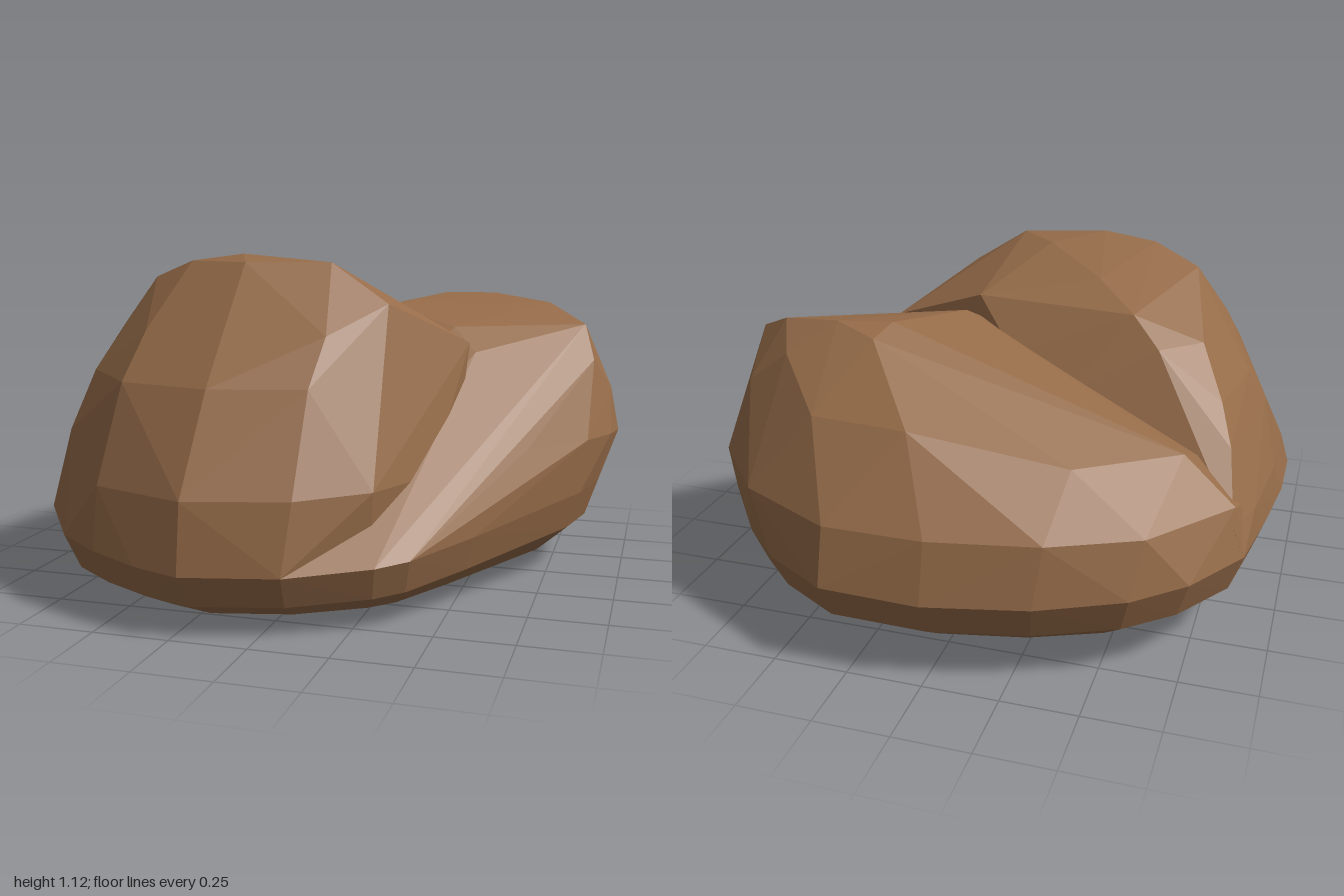
import * as THREE from 'three';
import { ConvexGeometry } from 'three/addons/geometries/ConvexGeometry.js';

const stone = new THREE.MeshStandardMaterial({ color: 0x966c49, roughness: 1, flatShading: true });

// Outline of the foot of the rock: x, z pairs
const footprint = [
  0.42, 0.72, 0.57, 0.48, 0.72, 0.2, 0.86, -0.02, 0.91, -0.2, 0.88, -0.5,
  0.69, -0.75, 0.55, -0.88, 0.33, -1, 0, -1, -0.33, -0.93, -0.6, -0.82,
  -0.76, -0.69, -0.9, -0.48, -0.94, -0.2, -0.97, 0.08, -0.97, 0.35, -0.87, 0.57,
  -0.7, 0.8, -0.55, 0.89, -0.38, 0.96, -0.22, 1, 0.08, 0.93, 0.33, 0.8,
];

// Rounded underside: [height, scale, rise to the back, rise to the sides]
const underside = [];
for (const [y, s, slope, bow] of [[0.02, 0.62, 0.03, 0.03], [0.06, 0.83, 0.03, 0.03], [0.13, 0.95, 0.04, 0.05], [0.24, 1, 0.045, 0.07]]) {
  for (let i = 0; i < footprint.length; i += 2) {
    const x = footprint[i] * s, z = footprint[i + 1] * s;
    underside.push(new THREE.Vector3(x, y - z * slope + x * x * bow, z));
  }
}

// Faceted lump on its share of the underside, from sections [height, [x, z, ...]]
function lump(name, foot, sections) {
  const points = [...foot];
  for (const [y, xz] of sections) {
    for (let i = 0; i < xz.length; i += 2) points.push(new THREE.Vector3(xz[i], y, xz[i + 1]));
  }
  const mesh = new THREE.Mesh(new ConvexGeometry(points), stone);
  mesh.name = name;
  return mesh;
}

export function createModel() {
  const group = new THREE.Group();
  group.name = 'rock';

  // Tall front lump with the summit and a sharp right edge
  const frontFoot = underside.filter((p) => p.x < 0.3 && p.z > -0.5);
  group.add(lump('frontLump', frontFoot, [
    [1.125, [-0.24, 0.36]],
    [1.1, [0.07, 0.37, -0.2, 0.45, -0.43, 0.35, -0.07, 0.23]],
    [1.04, [-0.6, 0.27, -0.3, 0.02]],
    [0.97, [0.27, 0.4, 0.11, -0.06, -0.45, -0.13]],
    [0.88, [-0.2, 0.66, 0.12, 0.6, -0.5, 0.58, -0.71, 0.3, -0.68, -0.08, -0.55, -0.2]],
    [0.82, [0.48, 0.09, -0.05, -0.2]],
    [0.73, [-0.2, 0.8, 0.1, 0.72, -0.52, 0.72, -0.75, 0.46, -0.82, 0.1, -0.77, -0.22, -0.27, -0.28]],
    [0.62, [0.47, 0.16, 0.22, 0.65, -0.88, 0.15, -0.82, -0.33]],
    [0.54, [-0.79, 0.57]],
    [0.42, [-0.22, 0.97, 0.1, 0.88, 0.3, 0.7, 0.42, 0.42, -0.55, 0.85, -0.94, 0.3, -0.94, 0,
      -0.91, -0.33, -0.86, -0.49]],
  ]));

  // Lower, wider lump behind, filling the valley on the right
  group.add(lump('backLump', underside, [
    [0.96, [0.3, -0.4, 0.48, -0.44]],
    [0.93, [0.7, -0.38, 0.33, -0.5, 0.14, -0.12]],
    [0.86, [0.02, -0.34, 0.4, -0.05, 0.84, -0.28, 0.63, -0.53]],
    [0.78, [0.49, 0.03]],
    [0.74, [0.12, -0.76, 0.45, -0.73, 0.79, -0.5, 0.88, -0.2]],
    [0.64, [-0.38, -0.67, -0.69, -0.46, 0.47, 0.14, 0.73, -0.01, 0.94, -0.25]],
    [0.48, [0.97, -0.27, 0.95, -0.17, 0.89, -0.52, 0.67, -0.78, 0.33, -0.95, 0, -0.95,
      -0.35, -0.88, -0.63, -0.75, -0.86, -0.46, 0.88, -0.02, 0.7, 0.2]],
  ]));

  return group;
}
